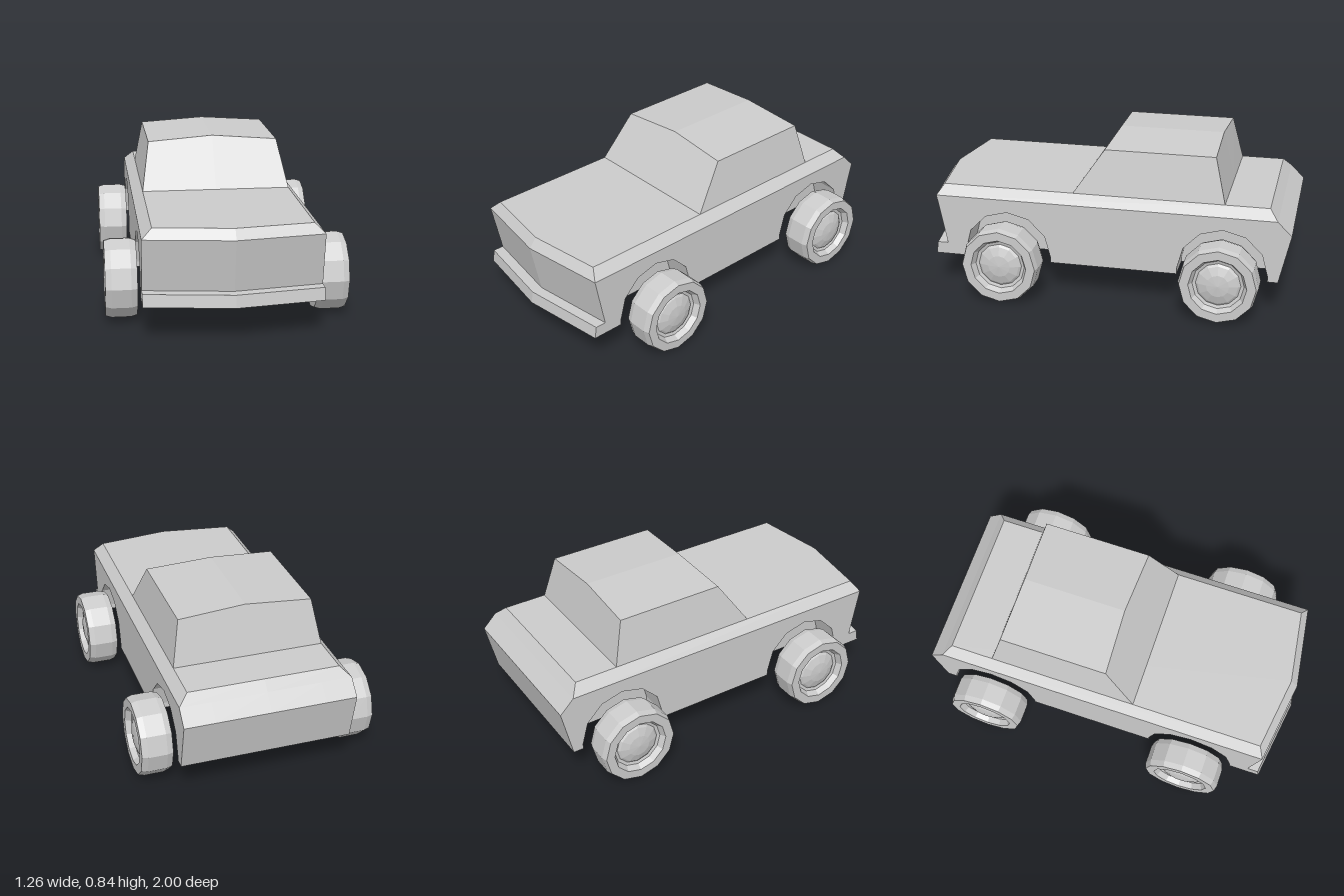
import * as THREE from 'three';

const material = new THREE.MeshStandardMaterial({ color: 0xcccccc, flatShading: true });
const HALF_W = 0.455;      // half width of the body
const ARCH_IN = 0.29;      // how far in the wheel arches reach
const WHEELS_Z = [0.525, -0.645];
const WHEEL_Y = 0.21;

function addMesh(parent, geometry, name) {
  const mesh = new THREE.Mesh(geometry, material);
  mesh.name = name;
  parent.add(mesh);
  return mesh;
}

// How far the pointed nose sticks out at a given x
const nose = (x) => 0.065 * (1 - Math.abs(x) / HALF_W);

// Side outline of the lower body (x = forward), with or without arch cutouts
function bodyShape(withArches) {
  const s = new THREE.Shape();
  s.moveTo(-0.94, 0.185);
  if (withArches) {
    const r = 0.24;
    for (const cz of [...WHEELS_Z].reverse()) {
      s.lineTo(cz - r, 0.185);
      for (let i = 0; i <= 6; i++) {
        const a = Math.PI * (1 - i / 6);
        s.lineTo(cz + r * Math.cos(a), WHEEL_Y + 0.005 + r * Math.sin(a));
      }
      s.lineTo(cz + r, 0.185);
    }
  }
  s.lineTo(0.935, 0.185);   // bumper
  s.lineTo(0.925, 0.25);
  s.lineTo(0.867, 0.25);    // raked grille
  s.lineTo(0.92, 0.525);
  s.lineTo(-0.925, 0.525);  // tail
  s.lineTo(-1.0, 0.45);
  s.closePath();
  return s;
}

// Slice of the lower body between two x positions, its front bent into a point
function bodySlice(x0, x1, withArches) {
  const g = new THREE.ExtrudeGeometry(bodyShape(withArches), { depth: x1 - x0, bevelEnabled: false });
  g.rotateY(-Math.PI / 2);
  g.translate(x1, 0, 0);
  const p = g.attributes.position;
  for (let i = 0; i < p.count; i++) {
    if (p.getZ(i) > 0.8) p.setZ(i, p.getZ(i) + nose(p.getX(i)));
  }
  g.computeVertexNormals();
  return g;
}

// Six-point outline: a centre and a side point front and rear, mirrored
function outline(halfW, side, front, rear) {
  const [yMid, zFrontMid, zRearMid] = [side.yMid, front[0], rear[0]];
  return [
    [0, yMid, zFrontMid], [halfW, side.y, front[1]], [halfW, side.y, rear[1]],
    [0, yMid, zRearMid], [-halfW, side.y, rear[1]], [-halfW, side.y, front[1]],
  ];
}

// Walls between two outlines, closed on top
function loft(bottom, top) {
  const v = [];
  const n = bottom.length;
  for (let i = 0; i < n; i++) {
    const j = (i + 1) % n;
    v.push(...bottom[i], ...bottom[j], ...top[j], ...bottom[i], ...top[j], ...top[i]);
  }
  for (let i = 1; i < n - 1; i++) v.push(...top[0], ...top[i], ...top[i + 1]);
  const g = new THREE.BufferGeometry();
  g.setAttribute('position', new THREE.Float32BufferAttribute(v, 3));
  g.computeVertexNormals();
  return g;
}

// Tyre and dished rim as one turned profile, outer face towards +x
function wheelGeometry() {
  const profile = [
    [0, -0.082], [0.15, -0.082], [0.2, -0.082], [0.21, -0.05], [0.21, 0.05],
    [0.2, 0.082], [0.152, 0.082], [0.135, 0.05], [0.118, 0.045],
  ].map(([r, x]) => new THREE.Vector2(r, x));
  return new THREE.LatheGeometry(profile, 12).rotateZ(-Math.PI / 2);
}

// Domed hub cap
function hubGeometry() {
  const profile = [[0.118, 0.045], [0.105, 0.055], [0.06, 0.07], [0, 0.076]]
    .map(([r, x]) => new THREE.Vector2(r, x));
  return new THREE.LatheGeometry(profile, 12).rotateZ(-Math.PI / 2);
}

export function createModel() {
  const car = new THREE.Group();
  car.name = 'car';

  // Lower body: solid middle, flanks with wheel arches
  const body = new THREE.Group();
  body.name = 'body';
  car.add(body);
  addMesh(body, bodySlice(0, ARCH_IN, false), 'middleLeft');
  addMesh(body, bodySlice(-ARCH_IN, 0, false), 'middleRight');
  addMesh(body, bodySlice(ARCH_IN, HALF_W, true), 'flankLeft');
  addMesh(body, bodySlice(-HALF_W, -ARCH_IN, true), 'flankRight');

  // Bonnet and boot deck with chamfered rim
  addMesh(car, loft(
    outline(HALF_W, { y: 0.525, yMid: 0.525 }, [0.985, 0.92], [-0.925, -0.925]),
    outline(0.402, { y: 0.576, yMid: 0.576 }, [0.945, 0.888], [-0.88, -0.88]),
  ), 'deck');

  // Cabin with a slightly ridged roof
  addMesh(car, loft(
    outline(0.402, { y: 0.576, yMid: 0.576 }, [0.17, 0.17], [-0.645, -0.645]),
    outline(0.358, { y: 0.817, yMid: 0.842 }, [-0.012, 0.004], [-0.58, -0.587]),
  ), 'cabin');

  // Wheels
  const tyre = wheelGeometry();
  const hub = hubGeometry();
  WHEELS_Z.forEach((z, i) => {
    for (const side of [1, -1]) {
      const wheel = new THREE.Group();
      wheel.name = (i === 0 ? 'front' : 'rear') + (side > 0 ? 'Left' : 'Right') + 'Wheel';
      addMesh(wheel, tyre, 'tyre');
      addMesh(wheel, hub, 'hubCap');
      wheel.position.set(side * 0.547, WHEEL_Y, z);
      if (side < 0) wheel.rotation.y = Math.PI;
      car.add(wheel);
    }
  });

  return car;
}
